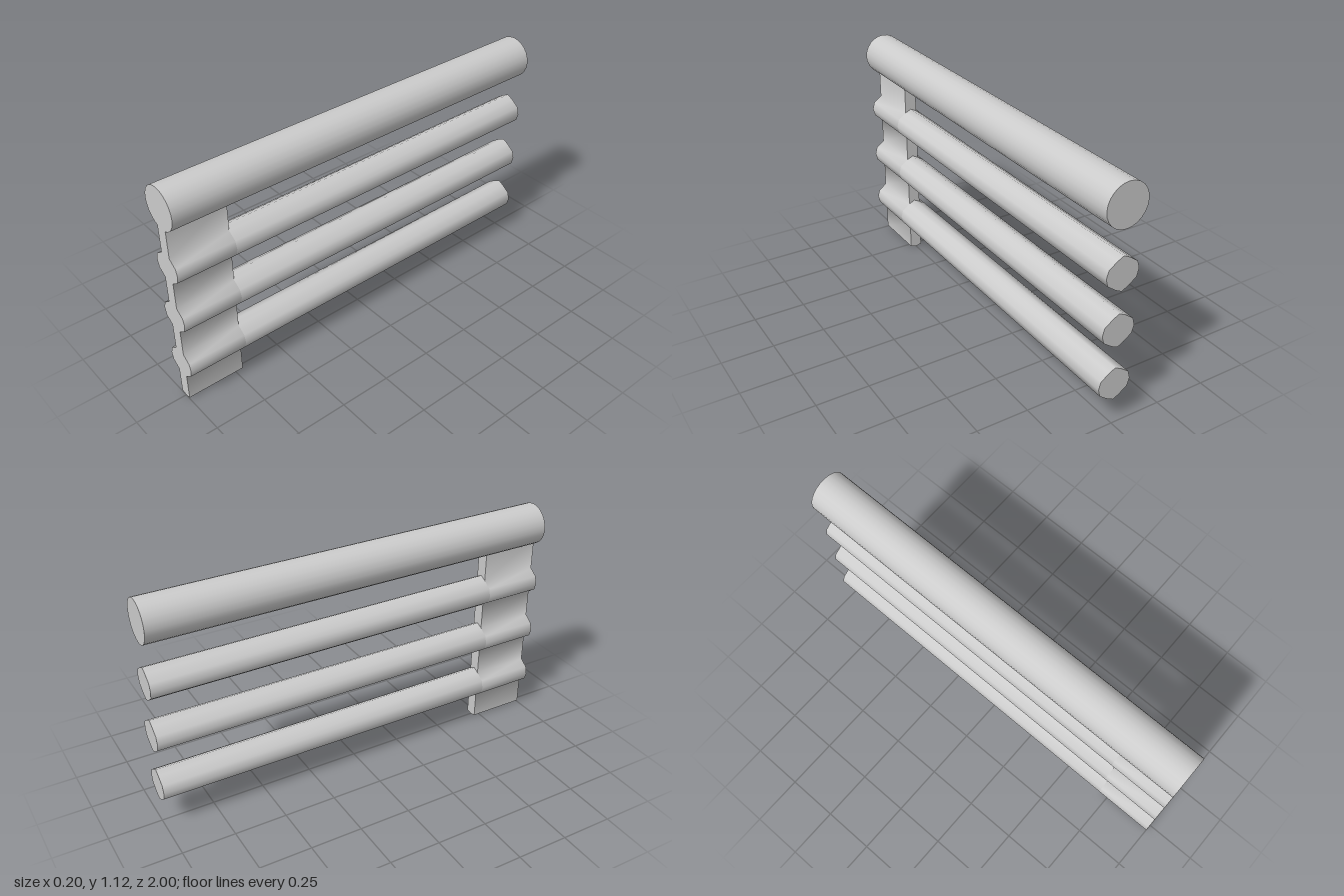
import * as THREE from 'three';
import { toCreasedNormals } from 'three/addons/utils/BufferGeometryUtils.js';

const POST_BACK = 0.715;
const BAR_HEIGHTS = [0.205, 0.467, 0.73];
// Right-hand half of a bar's cross-section, from bottom to top
const BAR_SIDE = [[0.03, -0.065], [0.07, -0.036], [0.08, 0], [0.07, 0.036], [0.03, 0.065]];

export function createModel() {
  const group = new THREE.Group();
  const material = new THREE.MeshStandardMaterial({ color: 0xcccccc });

  function add(name, geometry) {
    const mesh = new THREE.Mesh(geometry, material);
    mesh.name = name;
    group.add(mesh);
    return mesh;
  }

  // Mirrors a half outline (bottom to top) in x and extrudes it along z
  function extrudeMirrored(half, z0, z1) {
    const left = half.filter(([x]) => x > 0).map(([x, y]) => [-x, y]).reverse();
    const shape = new THREE.Shape([...half, ...left].map(([x, y]) => new THREE.Vector2(x, y)));
    const geometry = new THREE.ExtrudeGeometry(shape, { depth: z1 - z0, bevelEnabled: false });
    geometry.translate(0, 0, z0);
    return toCreasedNormals(geometry, Math.PI / 3);
  }

  // Round top rail
  const rail = add('topRail', new THREE.CylinderGeometry(0.1, 0.1, 2, 24));
  rail.rotation.x = Math.PI / 2;
  rail.position.y = 1.025;

  // Flat post, swelling around each bar
  const bulges = BAR_HEIGHTS.flatMap((h) => BAR_SIDE.map(([x, y]) => [x, y + h]));
  add('post', extrudeMirrored([[0, 0], [0.03, 0.007], ...bulges, [0.03, 0.95]], POST_BACK, 1));

  // Lower bars
  BAR_HEIGHTS.forEach((h, i) => {
    const half = [[0, -0.08], ...BAR_SIDE, [0, 0.08]];
    const bar = add(`bar${i + 1}`, extrudeMirrored(half, -1, POST_BACK));
    bar.position.y = h;
  });

  return group;
}
